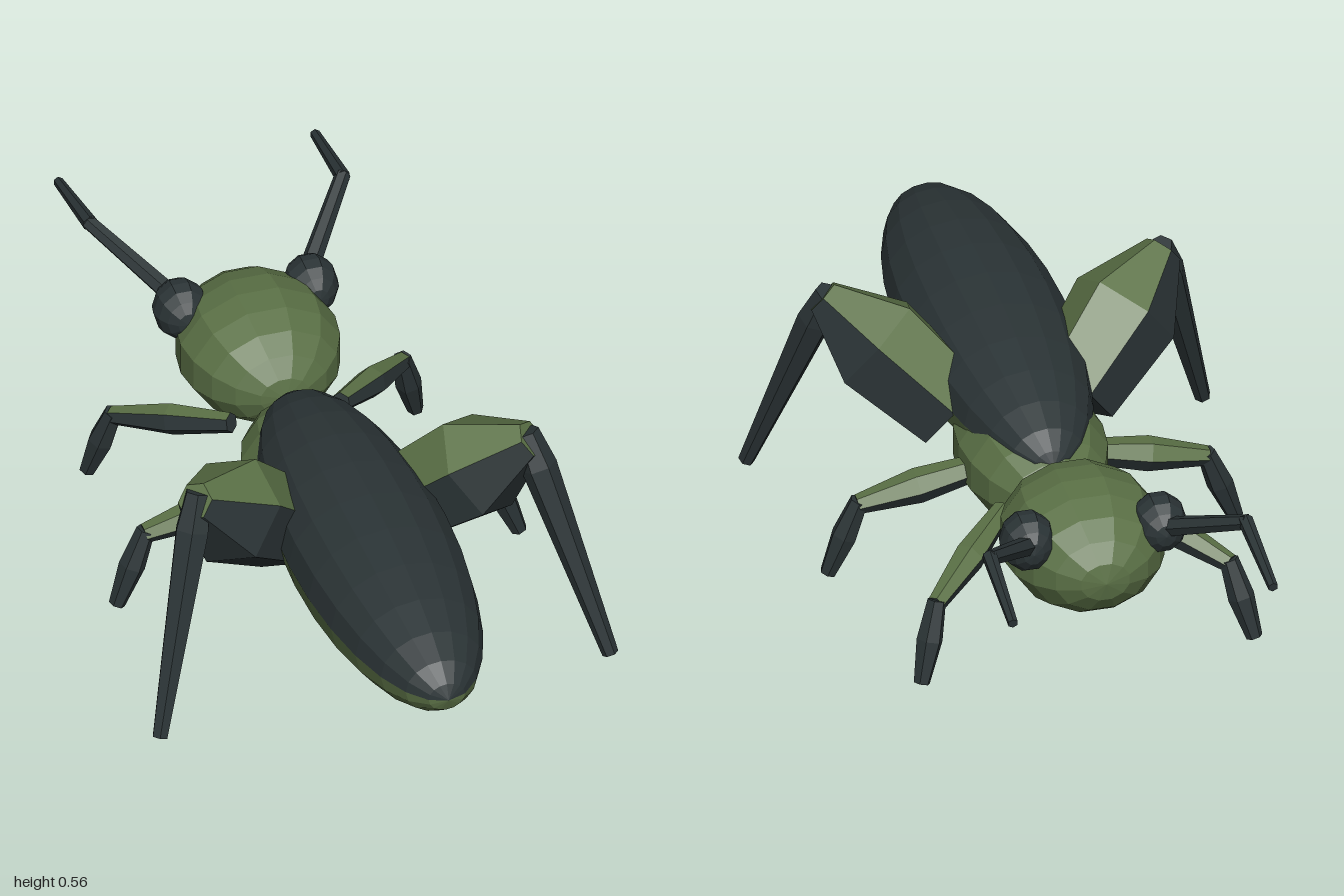
import * as THREE from 'three';

const flat = (name, color) => {
  const m = new THREE.MeshStandardMaterial({ color, flatShading: true });
  m.name = name;
  return m;
};

// Sort triangles into one group per material; rule(centre, normal) gives the index.
function paint(geometry, count, rule) {
  const pos = geometry.toNonIndexed().attributes.position;
  const buckets = Array.from({ length: count }, () => []);
  const tri = new THREE.Triangle(), c = new THREE.Vector3(), n = new THREE.Vector3();
  for (let i = 0; i < pos.count; i += 3) {
    tri.setFromAttributeAndIndices(pos, i, i + 1, i + 2);
    if (tri.getArea() < 1e-9) continue;
    tri.getMidpoint(c);
    tri.getNormal(n);
    buckets[rule(c, n)].push(...tri.a.toArray(), ...tri.b.toArray(), ...tri.c.toArray());
  }
  const out = new THREE.BufferGeometry();
  out.setAttribute('position', new THREE.Float32BufferAttribute(buckets.flat(), 3));
  let start = 0;
  buckets.forEach((b, i) => {
    out.addGroup(start, b.length / 3, i);
    start += b.length / 3;
  });
  out.computeVertexNormals();
  return out;
}

// Ellipsoid with its poles along z.
function ellipsoid(radii, centre, around, along, roll = 0) {
  return new THREE.SphereGeometry(1, around, along)
    .rotateY(roll).rotateX(Math.PI / 2)
    .scale(...radii).translate(...centre);
}

// Closed faceted limb from a to b; profile is a list of [fraction, radius].
function limb(a, b, profile, sides = 6) {
  const from = new THREE.Vector3(...a), dir = new THREE.Vector3(...b).sub(from);
  const length = dir.length();
  const pts = profile.map(([t, r]) => new THREE.Vector2(r, t * length));
  pts.unshift(new THREE.Vector2(0, pts[0].y));
  pts.push(new THREE.Vector2(0, pts[pts.length - 1].y));
  const q = new THREE.Quaternion().setFromUnitVectors(new THREE.Vector3(0, 1, 0), dir.normalize());
  return new THREE.LatheGeometry(pts, sides).applyQuaternion(q).translate(...a);
}

export function createModel() {
  const green = flat('leaf green', 0x5b7146);
  const dark = flat('dark shell', 0x2b3436);
  const beige = flat('pale belly', 0xaa9f82);
  const model = new THREE.Group();
  model.name = 'insect';

  const add = (name, geometry, material, parent = model) => {
    const mesh = new THREE.Mesh(geometry, material);
    mesh.name = name;
    parent.add(mesh);
  };

  // Head and thorax
  add('head', ellipsoid([0.19, 0.156, 0.217], [0, 0.315, -0.455], 12, 10, Math.PI / 12), green);
  add('thorax', ellipsoid([0.175, 0.148, 0.26], [0, 0.263, 0.012], 12, 10, Math.PI / 12), green);

  // Abdomen: dark back, green flanks, stepped pale belly
  const mid = [0, 0.34, 0.4];
  const abdomen = paint(ellipsoid([0.194, 0.16, 0.6], mid, 16, 14), 3, (c) => {
    if (c.y > mid[1]) return 1;
    const drop = Math.atan2((mid[1] - c.y) / 0.16, Math.abs(c.x) / 0.194) * 180 / Math.PI;
    return (drop > 45 && c.z < 0.869) || (drop > 22.5 && c.z < 0.533) ? 2 : 0;
  });
  add('abdomen', abdomen, [green, dark, beige]);

  // Upper leg sections are green on top and dark below
  const legs = [
    {
      name: 'frontLeg', hip: [0.13, 0.275, -0.24], knee: [0.345, 0.188, -0.46], foot: [0.39, 0.012, -0.505],
      upper: [[0, 0.024], [0.5, 0.037], [1, 0.022]],
      lower: [[-0.06, 0.022], [0.45, 0.031], [1, 0.019]],
    },
    {
      name: 'middleLeg', hip: [0.13, 0.25, -0.012], knee: [0.41, 0.19, -0.006], foot: [0.478, 0.012, 0.003],
      upper: [[0, 0.03], [0.5, 0.041], [1, 0.023]],
      lower: [[-0.06, 0.022], [0.45, 0.031], [1, 0.019]],
    },
    {
      name: 'hindLeg', hip: [0.14, 0.29, 0.18], knee: [0.395, 0.525, 0.345], foot: [0.535, 0.012, 0.515],
      upper: [[0, 0.11], [0.6, 0.13], [1.02, 0.045]],
      lower: [[-0.04, 0.03], [0.12, 0.042], [1, 0.019]],
    },
  ];

  for (const side of [1, -1]) {
    const label = side > 0 ? 'left' : 'right';
    const at = ([x, y, z]) => [x * side, y, z];

    for (const { name, hip, knee, foot, upper, lower } of legs) {
      const leg = new THREE.Group();
      leg.name = `${label} ${name}`;
      const thigh = paint(limb(at(hip), at(knee), upper), 2, (c, n) => (n.y > 0.3 ? 0 : 1));
      add('upperLeg', thigh, [green, dark], leg);
      add('lowerLeg', limb(at(knee), at(foot), lower), dark, leg);
      model.add(leg);
    }

    // Eye and two-piece antenna
    add(`${label} eye`, ellipsoid([0.064, 0.072, 0.07], at([0.155, 0.385, -0.55]), 10, 8), dark);
    const antenna = new THREE.Group();
    antenna.name = `${label} antenna`;
    const bend = at([0.3, 0.498, -0.775]);
    add('antennaBase', limb(at([0.155, 0.39, -0.58]), bend, [[0, 0.024], [1.02, 0.018]]), dark, antenna);
    add('antennaTip', limb(bend, at([0.305, 0.458, -0.998]), [[-0.03, 0.018], [1, 0.012]]), dark, antenna);
    model.add(antenna);
  }
  return model;
}
